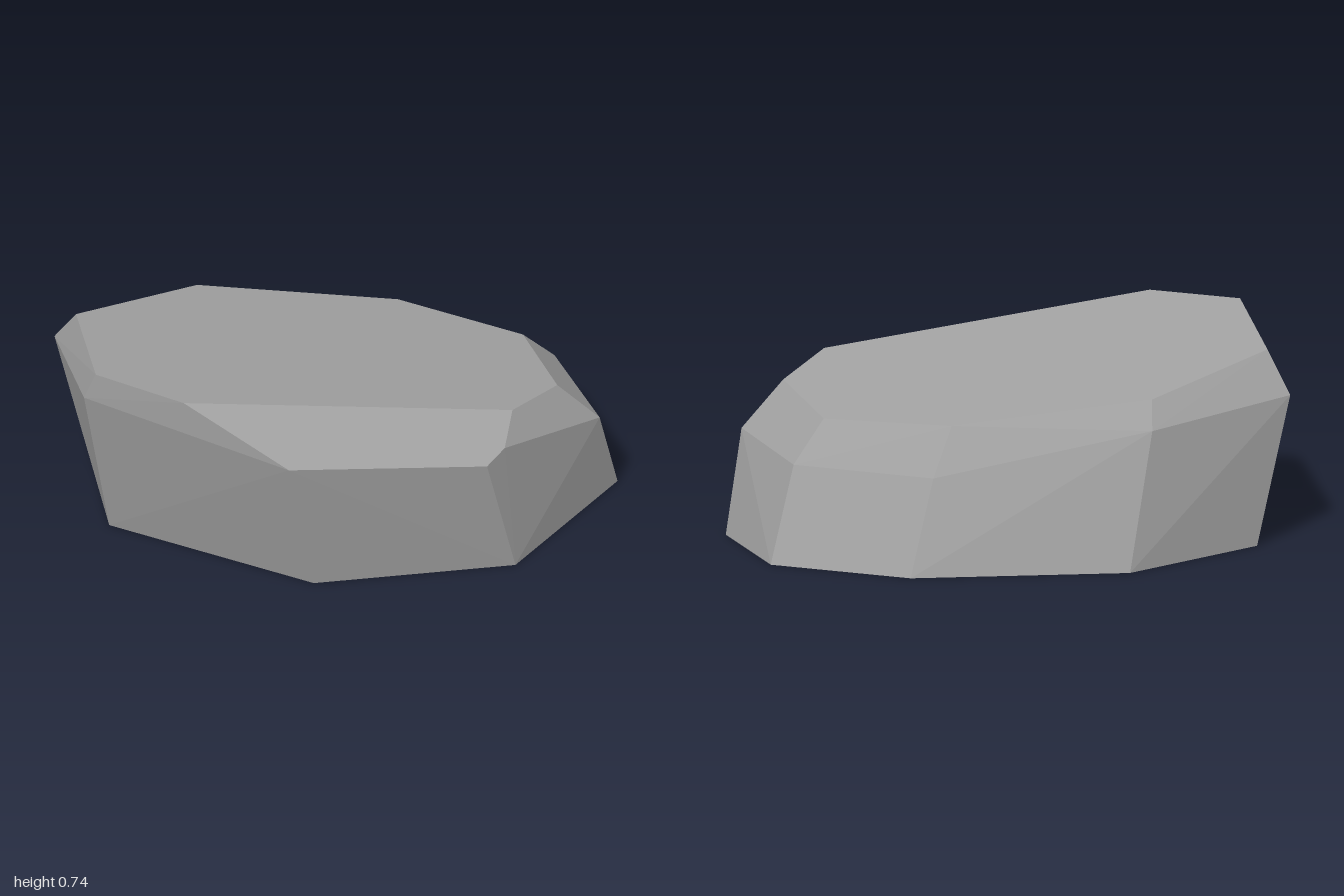
import * as THREE from 'three';
import { ConvexGeometry } from 'three/addons/geometries/ConvexGeometry.js';

// Faceted boulder: flat base, a bulging shoulder ring and a tilted flat top.
export function createModel() {
  const group = new THREE.Group();
  group.name = 'rock';

  const stone = new THREE.MeshStandardMaterial({ color: 0xa0a0a0 });
  stone.name = 'grey stone';

  // Base outline (x, z) on the ground
  const base = [
    [-0.14, 0.6], [0.59, 0.54], [1.0, 0.02], [0.9, -0.435],
    [0.43, -0.7], [-0.36, -0.73], [-0.865, -0.4], [-0.84, 0.16],
  ].map(([x, z]) => new THREE.Vector3(x, 0, z));

  // Shoulder ring (x, y, z) between the walls and the chamfer
  const shoulder = [
    [-0.24, 0.57, 0.727], [0.48, 0.49, 0.637], [0.55, 0.515, 0.56],
    [0.925, 0.36, 0.15], [0.8, 0.335, -0.31], [0.33, 0.333, -0.57],
    [-0.46, 0.485, -0.587], [-1.0, 0.525, -0.29], [-0.94, 0.625, 0.275],
  ].map((p) => new THREE.Vector3(...p));

  // Top outline (x, z), lifted onto one sloping plane
  const top = [
    [-0.6, 0.5], [0.59, 0.41], [0.77, 0.18], [0.68, -0.23],
    [0.25, -0.47], [-0.47, -0.5], [-0.93, -0.2], [-0.9, 0.3],
  ].map(([x, z]) => new THREE.Vector3(x, 0.592 - 0.117 * x + 0.135 * z, z));

  const boulder = new THREE.Mesh(new ConvexGeometry([...base, ...shoulder, ...top]), stone);
  boulder.name = 'boulder';
  group.add(boulder);
  return group;
}
